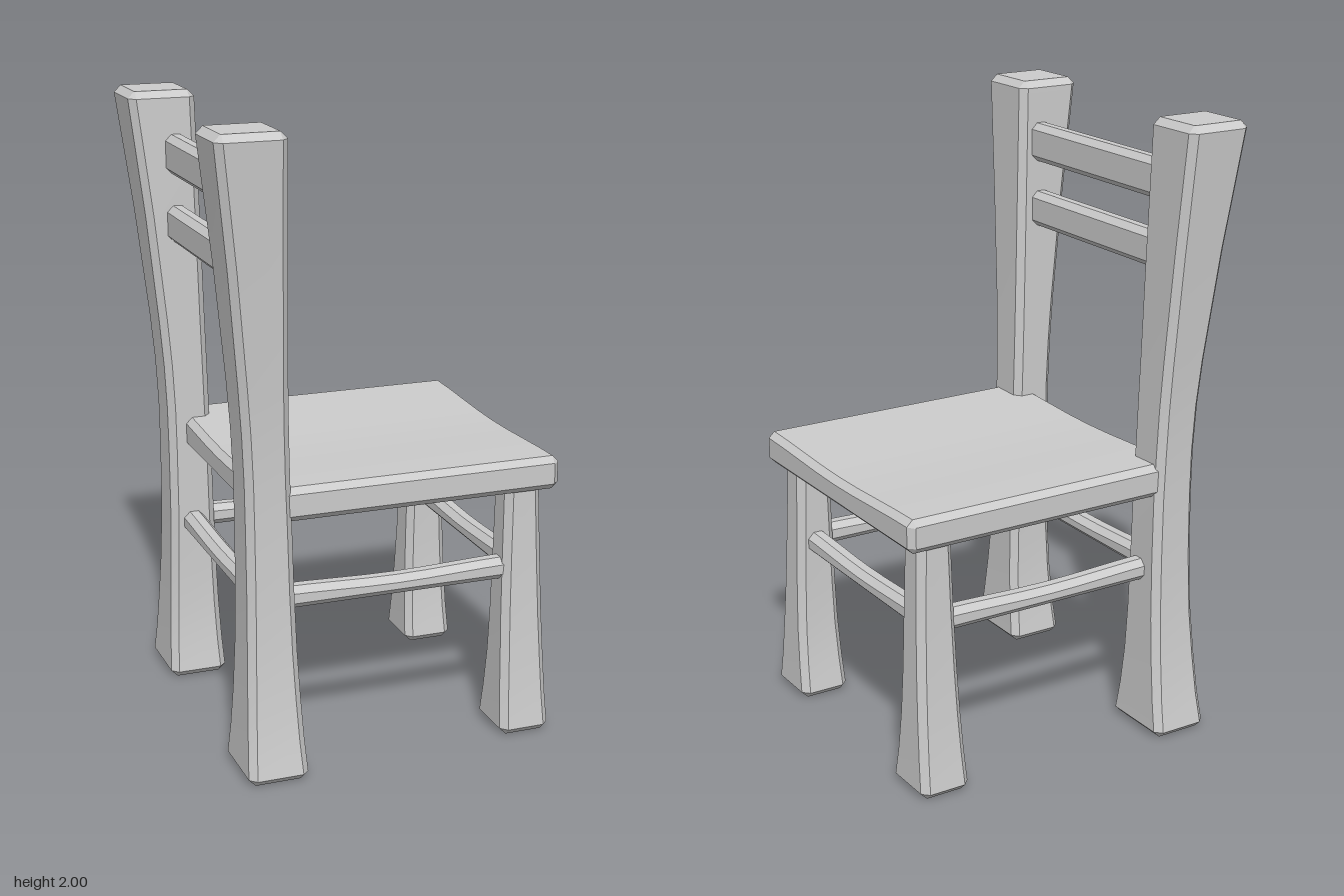
import * as THREE from 'three';
import { toCreasedNormals } from 'three/addons/utils/BufferGeometryUtils.js';

const material = new THREE.MeshStandardMaterial({ color: 0xcccccc });
// Cross-section plane (u, v) for each bar direction, as coordinate indices [u, v, t]
const AXES = { x: [1, 2, 0], y: [2, 0, 1], z: [0, 1, 2] };

// Rectangle with chamfered corners, counter-clockwise in (u, v)
function chamferedRect(u0, u1, v0, v1, c) {
  return [
    [u0 + c, v0], [u1 - c, v0], [u1, v0 + c], [u1, v1 - c],
    [u1 - c, v1], [u0 + c, v1], [u0, v1 - c], [u0, v0 + c],
  ];
}

// Bar lofted through stations [t, u0, u1, v0, v1], all edges and both ends bevelled by c
function bevelledBar(name, axis, stations, c) {
  const end = (s, step) => [s[0] + step, s[1] + c, s[2] - c, s[3] + c, s[4] - c];
  const first = stations[0], last = stations[stations.length - 1];
  const rows = [end(first, 0), [first[0] + c, ...first.slice(1)],
    ...stations.slice(1, -1), [last[0] - c, ...last.slice(1)], end(last, 0)];
  const [iu, iv, it] = AXES[axis];
  const positions = [], index = [];
  rows.forEach(([t, ...rect], i) => {
    const chamfer = i === 0 || i === rows.length - 1 ? 0.002 : c;
    for (const [u, v] of chamferedRect(...rect, chamfer)) {
      const p = [0, 0, 0];
      p[iu] = u; p[iv] = v; p[it] = t;
      positions.push(...p);
    }
  });
  for (let i = 0; i < rows.length - 1; i++) {
    for (let j = 0; j < 8; j++) {
      const a = i * 8 + j, b = i * 8 + (j + 1) % 8;
      index.push(a, b, b + 8, a, b + 8, a + 8);
    }
  }
  const top = (rows.length - 1) * 8;
  for (let j = 1; j < 7; j++) index.push(0, j + 1, j, top, top + j, top + j + 1);
  const geometry = new THREE.BufferGeometry();
  geometry.setAttribute('position', new THREE.Float32BufferAttribute(positions, 3));
  geometry.setIndex(index);
  const mesh = new THREE.Mesh(toCreasedNormals(geometry, Math.PI / 7), material);
  mesh.name = name;
  return mesh;
}

// Stations of a bar whose upper face sags by dip in the middle; yIsU tells which side is y
function saggingStations(t0, t1, low, high, s0, s1, dip, yIsU) {
  const stations = [];
  for (let i = 0; i <= 8; i++) {
    const k = i / 8, y1 = high - dip * Math.sin(Math.PI * k) ** 2;
    const t = t0 + (t1 - t0) * k;
    stations.push(yIsU ? [t, low, y1, s0, s1] : [t, s0, s1, low, y1]);
  }
  return stations;
}

// Upright profiles on the +z side: [y, zInner, zOuter, xBack, xFront]
const POST = [
  [0, 0.30, 0.558, -0.488, -0.296],
  [0.12, 0.316, 0.538, -0.482, -0.301],
  [0.25, 0.329, 0.520, -0.476, -0.306],
  [0.4, 0.334, 0.504, -0.470, -0.311],
  [0.6, 0.335, 0.494, -0.466, -0.316],
  [0.8, 0.336, 0.490, -0.466, -0.320],
  [0.95, 0.337, 0.490, -0.468, -0.325],
  [1.1, 0.338, 0.494, -0.475, -0.329],
  [1.25, 0.340, 0.503, -0.487, -0.333],
  [1.6, 0.344, 0.532, -0.522, -0.341],
  [2, 0.350, 0.568, -0.568, -0.350],
];
const LEG = [
  [0, 0.30, 0.50, 0.378, 0.545],
  [0.12, 0.316, 0.486, 0.382, 0.541],
  [0.25, 0.329, 0.473, 0.387, 0.537],
  [0.4, 0.334, 0.461, 0.391, 0.532],
  [0.6, 0.335, 0.451, 0.396, 0.526],
  [0.85, 0.336, 0.445, 0.401, 0.518],
];

export function createModel() {
  const chair = new THREE.Group();
  chair.name = 'chair';

  // Back posts, front legs and side stretchers, one of each per side
  for (const side of [1, -1]) {
    const label = side > 0 ? 'Left' : 'Right';
    const place = (rows) => rows.map(([y, a, b, x0, x1]) =>
      side > 0 ? [y, a, b, x0, x1] : [y, -b, -a, x0, x1]);
    chair.add(bevelledBar('backPost' + label, 'y', place(POST), 0.022));
    chair.add(bevelledBar('frontLeg' + label, 'y', place(LEG), 0.022));
    const z = side * 0.4;
    chair.add(bevelledBar('sideStretcher' + label, 'x',
      saggingStations(-0.35, 0.43, 0.515, 0.587, z - 0.035, z + 0.035, 0.01, true), 0.02));
  }

  // Front and back stretchers
  for (const [name, x] of [['frontStretcher', 0.46], ['backStretcher', -0.39]]) {
    chair.add(bevelledBar(name, 'z',
      saggingStations(-0.37, 0.37, 0.515, 0.587, x - 0.035, x + 0.035, 0.01, false), 0.02));
  }

  // Seat, slightly dished from side to side
  chair.add(bevelledBar('seat', 'z',
    saggingStations(-0.475, 0.475, 0.812, 0.92, -0.41, 0.568, 0.014, false), 0.02));

  // Backrest rails
  for (const [name, y0, y1] of [['upperRail', 1.735, 1.862], ['lowerRail', 1.515, 1.632]]) {
    chair.add(bevelledBar(name, 'z',
      [[-0.39, -0.455, -0.387, y0, y1], [0.39, -0.455, -0.387, y0, y1]], 0.02));
  }
  return chair;
}
